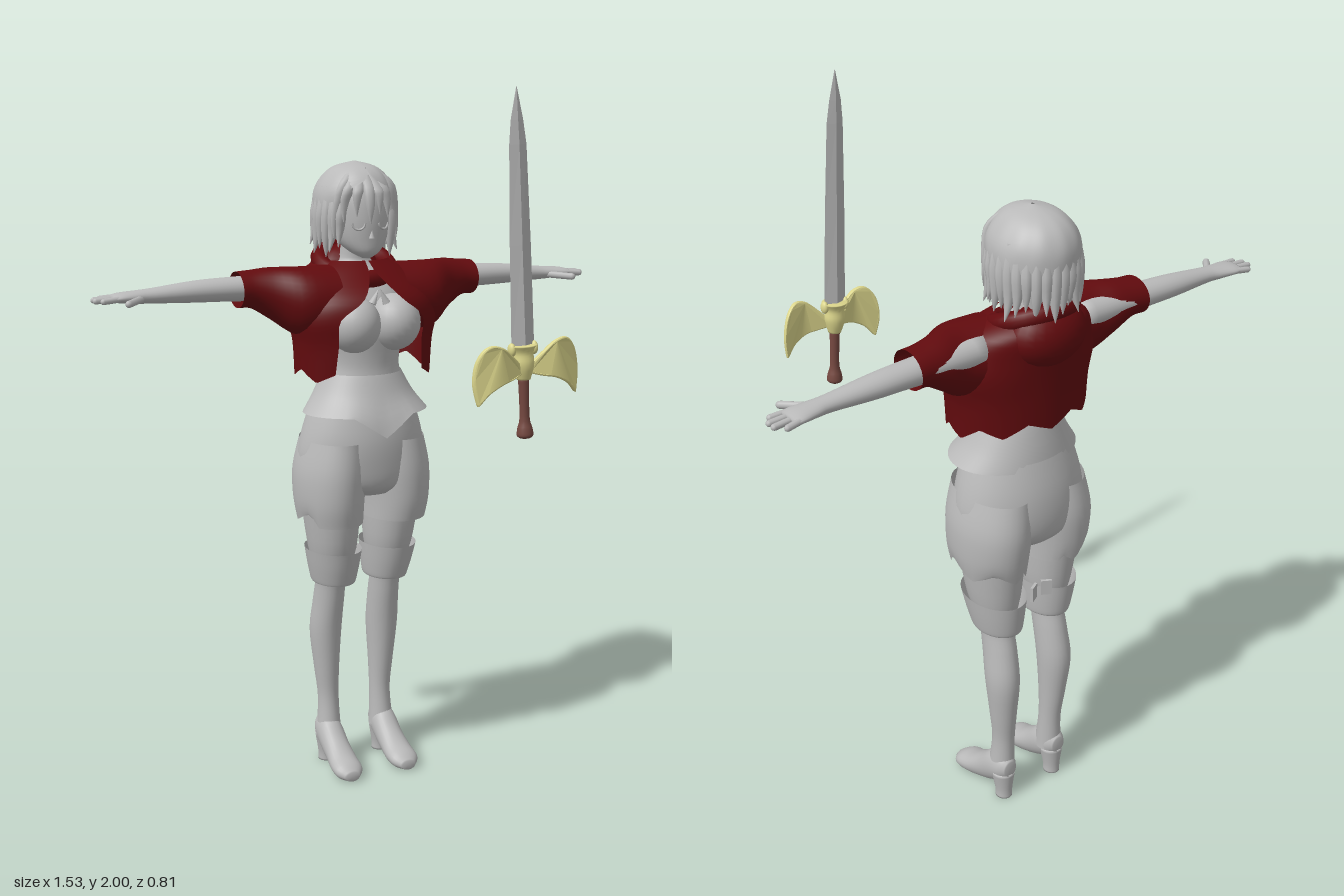
import * as THREE from 'three';

const mat = (name, color) => {
  const m = new THREE.MeshStandardMaterial({ color, side: THREE.DoubleSide });
  m.name = name;
  return m;
};

// Smoothly interpolates a list of number rows
function smoothRows(rows, steps) {
  const out = [];
  for (let j = 0; j < rows.length - 1; j++) {
    const [a, b, c, d] = [rows[Math.max(j - 1, 0)], rows[j], rows[j + 1], rows[Math.min(j + 2, rows.length - 1)]];
    for (let k = 0; k < steps; k++) {
      const t = k / steps;
      out.push(b.map((_, i) => b[i] + 0.5 * t * (c[i] - a[i]
        + t * (2 * a[i] - 5 * b[i] + 4 * c[i] - d[i] + t * (3 * (b[i] - c[i]) + d[i] - a[i])))));
    }
  }
  out.push(rows[rows.length - 1]);
  return out;
}

// Skin over ellipses [y, cx, cz, rx, rz, frontGap], listed bottom to top.
// hem(t) moves the bottom edge, fading out upwards.
function loft(rows, { seg = 24, steps = 4, hem = null, caps = false, flat = false } = {}) {
  const open = rows[0].length > 5;
  const rings = smoothRows(rows, steps);
  const cols = open ? seg + 1 : seg;
  const pos = [], idx = [];
  rings.forEach(([y, cx, cz, rx, rz, gap = 0], j) => {
    const g = Math.max(gap, 0);
    for (let i = 0; i < cols; i++) {
      const t = g + (2 * Math.PI - 2 * g) * i / seg;
      const dy = hem ? hem(t) * Math.pow(1 - j / (rings.length - 1), 3) : 0;
      pos.push(cx + rx * Math.sin(t), y + dy, cz + rz * Math.cos(t));
    }
  });
  for (let j = 0; j < rings.length - 1; j++) {
    for (let i = 0; i < seg; i++) {
      const n = (i + 1) % cols, a = j * cols + i, b = j * cols + n;
      idx.push(a, b, b + cols, a, b + cols, a + cols);
    }
  }
  if (caps) {
    [0, rings.length - 1].forEach((j) => {
      const c = pos.length / 3, [y, cx, cz] = rings[j];
      pos.push(cx, y, cz);
      for (let i = 0; i < seg; i++) {
        const a = j * cols + i, b = j * cols + (i + 1) % cols;
        if (j) idx.push(c, a, b); else idx.push(c, b, a);
      }
    });
  }
  let geo = new THREE.BufferGeometry();
  geo.setAttribute('position', new THREE.Float32BufferAttribute(pos, 3));
  geo.setIndex(idx);
  if (flat) geo = geo.toNonIndexed();
  geo.computeVertexNormals();
  return geo;
}

// Mirrored copy across x = 0
function mirrored(src) {
  const geo = src.index ? src.toNonIndexed() : src.clone();
  geo.scale(-1, 1, 1);
  for (const a of Object.values(geo.attributes)) {
    const n = a.itemSize, v = a.array;
    for (let f = 0; f < a.count; f += 3) {
      for (let k = 0; k < n; k++) {
        const p = (f + 1) * n + k, q = (f + 2) * n + k;
        [v[p], v[q]] = [v[q], v[p]];
      }
    }
  }
  return geo;
}

// Rounded finger between two points
function finger(p, q, r) {
  const a = new THREE.Vector3(...p), b = new THREE.Vector3(...q), d = b.clone().sub(a);
  const turn = new THREE.Quaternion().setFromUnitVectors(new THREE.Vector3(0, 1, 0), d.clone().normalize());
  return new THREE.CapsuleGeometry(r, d.length(), 4, 8).applyQuaternion(turn)
    .translate(...a.add(b).multiplyScalar(0.5).toArray());
}

const ball = (x, y, z, rx, ry, rz) => new THREE.SphereGeometry(1, 24, 16).scale(rx, ry, rz).translate(x, y, z);
const zigzag = (t, n, depth) => Math.abs(((t * n / Math.PI) % 2) - 1) * depth;

export function createModel() {
  const grey = mat('pale grey', 0xbababa), red = mat('dark red', 0x620b0e);
  const gold = mat('pale gold', 0xdcd68c), brown = mat('grip brown', 0x754840);
  const model = new THREE.Group();
  const add = (name, geo, m, parent = model) => {
    const mesh = new THREE.Mesh(geo, m);
    mesh.name = name;
    parent.add(mesh);
    return mesh;
  };
  const pair = (name, geo, m, parent) => {
    add(name + 'Left', geo, m, parent);
    add(name + 'Right', mirrored(geo), m, parent);
  };

  // Torso, bust and neck
  add('torso', loft([[1.08, 0, -.22, .155, .12], [1.2, 0, -.222, .115, .1], [1.26, 0, -.215, .108, .092],
    [1.35, 0, -.215, .125, .1], [1.42, 0, -.235, .13, .09], [1.48, 0, -.26, .11, .07],
    [1.515, 0, -.268, .055, .05], [1.54, 0, -.265, .042, .042], [1.62, 0, -.255, .04, .042]]), grey);
  pair('bust', ball(.062, 1.355, -.14, .075, .08, .082), grey);

  // Flared bodice hem with a point at the front
  add('bodiceHem', loft([[1.1, 0, -.2, .185, .142], [1.15, 0, -.215, .148, .12], [1.21, 0, -.222, .116, .102]],
    { seg: 48, hem: (t) => -.06 * Math.max(0, 1 - Math.min(t, 2 * Math.PI - t) / .5) }), grey);

  // Shorts
  add('shortsSeat', loft([[.86, 0, -.23, .1, .1], [.89, 0, -.23, .165, .128], [.95, 0, -.23, .192, .138],
    [1.03, 0, -.226, .182, .136], [1.12, 0, -.222, .155, .118]], { seg: 36 }), grey);
  pair('shortsLeg', loft([[.775, .1, -.23, .09, .12], [.84, .104, -.23, .096, .134], [.93, .1, -.23, .1, .14],
    [1.02, .09, -.226, .09, .13]], { seg: 36, hem: (t) => t > 1 && t < 3.6 ? zigzag(t, 5, .035) : 0 }), grey);

  // Legs, knee cuffs and heeled boots
  pair('leg', loft([[.09, .088, -.282, .037, .042], [.2, .086, -.288, .031, .034], [.3, .09, -.29, .037, .042],
    [.42, .093, -.288, .046, .054], [.52, .09, -.27, .044, .055], [.6, .089, -.252, .045, .056],
    [.69, .09, -.24, .068, .085], [.82, .095, -.235, .082, .105]]), grey);
  pair('kneeCuff', loft([[.585, .084, -.248, .06, .08], [.595, .084, -.248, .064, .085],
    [.64, .086, -.243, .072, .097], [.69, .088, -.238, .079, .108]], { seg: 32 }), grey);
  pair('cuffTab', new THREE.BoxGeometry(.03, .045, .008).rotateY(.5).translate(.022, .705, -.33), grey);
  pair('boot', loft([[-.328, .09, -.11, .02, .025], [-.305, .09, -.105, .034, .045], [-.26, .09, -.088, .039, .058],
    [-.21, .09, -.055, .04, .046], [-.165, .091, -.034, .044, .034], [-.125, .092, -.025, .042, .025],
    [-.1, .092, -.017, .022, .014]], { caps: true }).rotateX(Math.PI / 2), grey);
  pair('bootHeel', loft([[0, .09, -.299, .024, .025], [.03, .09, -.298, .025, .026], [.09, .09, -.293, .036, .036]],
    { caps: true }), grey);

  // Arms and hands, skinned along x
  pair('arm', loft([[.15, -1.455, -.262, .042, .043], [.37, -1.457, -.266, .034, .04], [.48, -1.456, -.268, .03, .036],
    [.6, -1.452, -.267, .021, .027], [.645, -1.451, -.268, .018, .031], [.69, -1.451, -.27, .014, .038],
    [.715, -1.45, -.27, .009, .035]], { caps: true }).rotateZ(-Math.PI / 2), grey);
  [.735, .757, .757, .742].forEach((x, i) => pair('finger' + (i + 1),
    finger([.69, 1.451, -.297 + i * .018], [x, 1.447, -.304 + i * .022], .0085), grey));
  pair('thumb', finger([.635, 1.447, -.25], [.688, 1.443, -.192], .01), grey);

  // Head and face
  add('head', loft([[1.533, 0, -.187, .012, .014], [1.55, 0, -.2, .042, .045], [1.585, 0, -.225, .073, .075],
    [1.64, 0, -.245, .09, .098], [1.7, 0, -.255, .095, .1], [1.76, 0, -.26, .07, .08]], { caps: true }), grey);
  add('nose', new THREE.ConeGeometry(.009, .03, 8).translate(0, 1.605, -.15), grey);
  pair('eyelid', new THREE.TorusGeometry(.018, .003, 6, 12, Math.PI).rotateZ(Math.PI)
    .rotateY(.35).translate(.038, 1.632, -.155), grey);

  // Hair cap, hanging locks and fringe
  const hair = new THREE.Group();
  hair.name = 'hair';
  model.add(hair);
  add('hairCap', loft([[1.57, 0, -.285, .103, .1, 1.25], [1.65, 0, -.27, .115, .122, 1], [1.71, 0, -.266, .112, .124, .7],
    [1.755, 0, -.264, .088, .104, .1], [1.783, 0, -.262, .055, .065, 0], [1.797, 0, -.262, .004, .005, 0]],
  { seg: 64, hem: (t) => zigzag(t, 12, .03) }), grey, hair);
  for (let i = 0; i < 23; i++) {
    const t = .8 + (2 * Math.PI - 1.6) * i / 22, s = Math.sin(t), c = Math.cos(t);
    const tip = 1.535 + .03 * ((i * 7) % 5) / 4, out = .108 + .016 * ((i * 3) % 4) / 3;
    add('hairLock', loft([[tip, s * out, -.272 + c * out, .001, .001],
      [tip + .05, s * .108, -.272 + c * .112, .013, .013], [1.66, s * .106, -.268 + c * .113, .017, .017],
      [1.73, s * .094, -.266 + c * .102, .012, .012]], { seg: 8, steps: 3 }), grey, hair);
  }
  // Each fringe lock: tip x, tip y
  for (const [x, y] of [[-.095, 1.59], [-.075, 1.635], [-.045, 1.65], [-.008, 1.63], [.022, 1.655], [.052, 1.645],
    [.08, 1.62], [.098, 1.585]]) {
    const z = -.14 - 6 * x * x;
    add('fringeLock', loft([[y, x, z, .001, .001], [y + .05, x * .95, z - .002, .013, .008],
      [1.73, x * .75, -.158 - 3 * x * x, .017, .011], [1.775, x * .35, -.205, .012, .01]], { seg: 8 }), grey, hair);
  }

  // Short open cape with a ragged hem
  add('cape', loft([[1.19, 0, -.215, .203, .143, .72], [1.29, 0, -.213, .208, .148, .66], [1.37, 0, -.212, .222, .153, .6],
    [1.43, 0, -.222, .205, .148, .28], [1.49, 0, -.258, .165, .118, .08], [1.525, 0, -.275, .1, .09, .05]],
  { seg: 96, hem: (t) => zigzag(t, 9, .03) + .03 * (1 - Math.cos(t)) / 2 }), red);
  pair('sleeve', loft([[.1, -1.42, -.22, .095, .105], [.2, -1.42, -.212, .096, .09], [.27, -1.442, -.238, .073, .068],
    [.325, -1.456, -.248, .053, .058], [.365, -1.456, -.25, .05, .06]], { seg: 32 }).rotateZ(-Math.PI / 2), red);

  // Hood lying on the back, collar and tie
  add('hood', ball(0, 1.478, -.325, .115, .085, .078), red);
  add('collar', new THREE.TorusGeometry(.1, .025, 12, 40).rotateX(Math.PI / 2 + .4).translate(0, 1.512, -.268), red);
  pair('tie', new THREE.ConeGeometry(.012, .045, 8).rotateZ(.45).translate(.012, 1.435, -.105), grey);

  // Floating sword, leaning slightly
  const sword = new THREE.Group();
  sword.name = 'sword';
  sword.position.set(.178, 1.31, .372);
  sword.rotation.z = .05;
  model.add(sword);
  add('blade', loft([[.03, 0, 0, .034, .014], [.3, 0, 0, .031, .011], [.55, 0, 0, .025, .008], [.61, -.001, 0, .018, .006],
    [.69, 0, 0, .001, .001]], { seg: 4, steps: 1, flat: true }), grey, sword);
  add('grip', loft([[-.2, 0, 0, .015, .015], [-.193, 0, 0, .022, .022], [-.175, 0, 0, .02, .02], [-.14, 0, 0, .013, .013],
    [-.03, 0, 0, .015, .015]], { seg: 16, caps: true }), brown, sword);
  add('guardCollar', loft([[-.045, 0, 0, .018, .018], [-.02, 0, 0, .026, .026], [0, 0, 0, .03, .028], [.025, 0, 0, .028, .025],
    [.045, 0, 0, .038, .033]], { seg: 16, caps: true }), gold, sword);
  pair('guardProng', ball(.033, .035, 0, .01, .018, .014), gold, sword);

  // Wing-shaped guard, bowed forward
  const wing = new THREE.Shape();
  wing.moveTo(.012, -.012);
  wing.splineThru([[.045, .02], [.08, .048], [.115, .052], [.142, .02], [.152, -.035], [.144, -.09]]
    .map((p) => new THREE.Vector2(...p)));
  wing.splineThru([[.118, -.062], [.08, -.042], [.045, -.034], [.012, -.025]].map((p) => new THREE.Vector2(...p)));
  const wingGeo = new THREE.ExtrudeGeometry(wing, { depth: .006, bevelEnabled: true, bevelSize: .004,
    bevelThickness: .004, bevelSegments: 2, curveSegments: 20 });
  const p = wingGeo.attributes.position;
  for (let i = 0; i < p.count; i++) p.setZ(i, p.getZ(i) + .026 * Math.sin(Math.PI * Math.min(p.getX(i) / .17, 1)));
  wingGeo.computeVertexNormals();
  pair('guardWing', wingGeo, gold, sword);

  return model;
}
